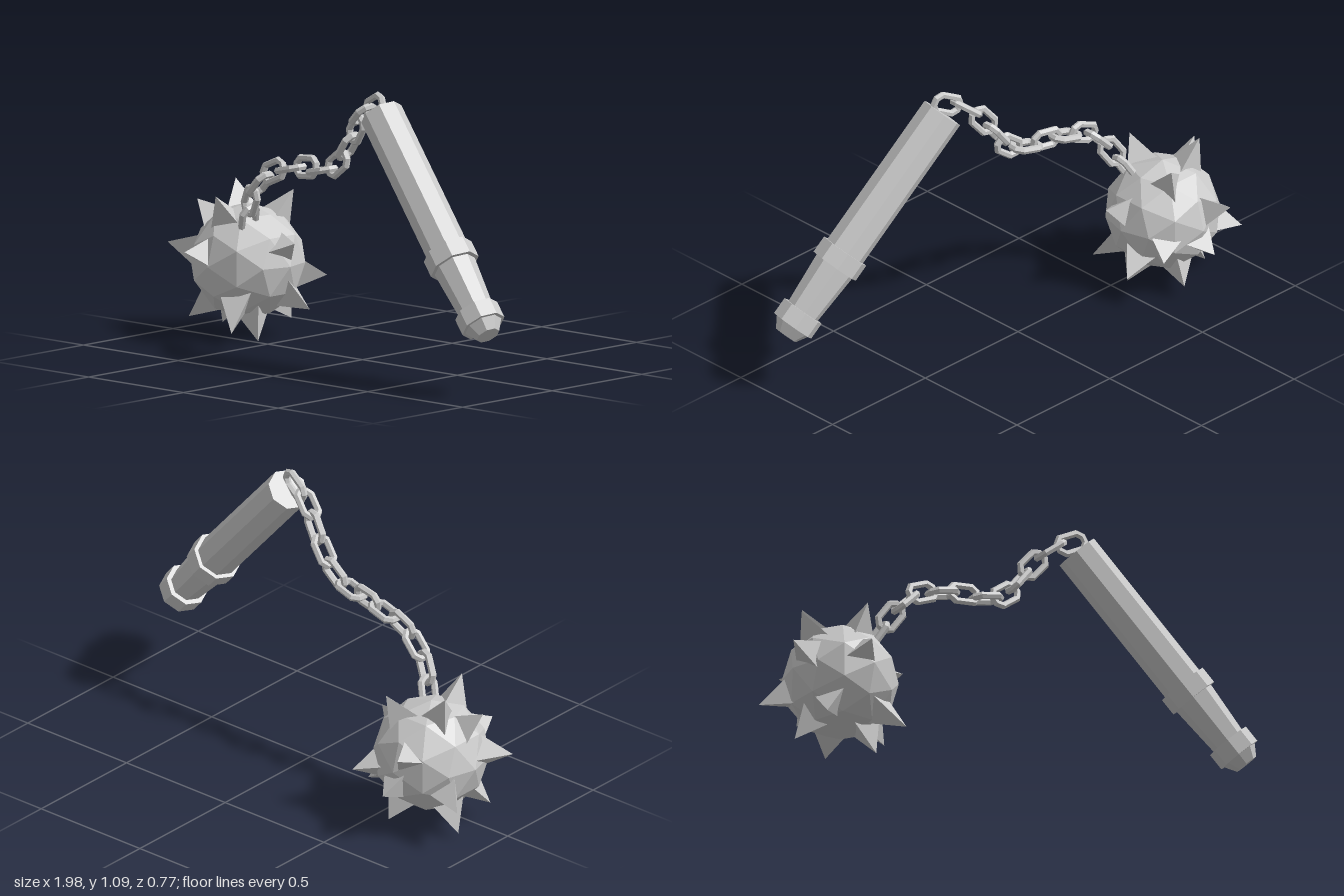
import * as THREE from 'three';

const V = (x, y, z) => new THREE.Vector3(x, y, z);
const UP = V(0, 1, 0);
const metal = new THREE.MeshStandardMaterial({ color: 0xcccccc, flatShading: true });

function add(parent, name, geometry) {
  const mesh = new THREE.Mesh(geometry, metal);
  mesh.name = name;
  parent.add(mesh);
  return mesh;
}

// Spiked ball: faceted sphere with three-sided spikes
function makeBall() {
  const ball = new THREE.Group();
  ball.name = 'spikedBall';
  ball.position.set(-0.69, 0.295, -0.09);
  add(ball, 'ballCore', new THREE.IcosahedronGeometry(0.225, 1));
  const tips = [
    [-0.13, 0.297, -0.07], [0.1, 0.27, -0.15], [0, 0.27, 0.18], [-0.22, 0.22, 0.05],
    [-0.06, 0.06, 0.29], [-0.31, 0.05, 0.12], [0.275, 0.1, 0.03], [-0.08, 0.1, -0.29],
    [0, -0.08, -0.285], [0.21, -0.06, -0.22], [-0.27, -0.11, -0.16], [0.26, -0.17, -0.07],
    [0.06, -0.24, -0.18], [-0.18, -0.27, -0.05], [-0.17, -0.22, 0.15], [0.12, -0.293, 0.07],
    [0.14, -0.24, 0.24],
  ];
  const base = 0.185;
  tips.forEach((t, i) => {
    const tip = V(...t), length = tip.length(), dir = tip.clone().normalize();
    const spike = add(ball, 'spike', new THREE.ConeGeometry(0.08, length - base, 3));
    spike.geometry.rotateY(i * 0.7);
    spike.quaternion.setFromUnitVectors(UP, dir);
    spike.position.copy(dir).multiplyScalar((length + base) / 2);
  });
  return ball;
}

// Eight-sided handle, built along y from the pommel (0) to the chain end (length)
function makeHandle() {
  const top = V(0.25, 1.01, 0.16), bottom = V(0.95, 0.25, 0.305);
  const axis = top.clone().sub(bottom), length = axis.length();
  const handle = new THREE.Group();
  handle.name = 'handle';
  handle.position.copy(bottom);
  handle.quaternion.setFromUnitVectors(UP, axis.normalize());
  // name, start, end, start radius, end radius
  const sections = [
    ['pommelTip', 0, 0.045, 0.047, 0.075],
    ['pommel', 0.045, 0.115, 0.088, 0.088],
    ['grip', 0.1, 0.34, 0.068, 0.085],
    ['collar', 0.325, 0.395, 0.1, 0.1],
    ['shaft', 0.38, length, 0.084, 0.084],
  ];
  for (const [name, a, b, ra, rb] of sections) {
    const part = add(handle, name, new THREE.CylinderGeometry(rb, ra, b - a, 8));
    part.position.y = (a + b) / 2;
  }
  return handle;
}

// Oval link: a low-poly ring whose two halves are pulled apart along x
function linkGeometry() {
  const g = new THREE.TorusGeometry(0.037, 0.0145, 6, 8);
  g.rotateZ(Math.PI / 8);
  const p = g.attributes.position;
  for (let i = 0; i < p.count; i++) p.setX(i, p.getX(i) + Math.sign(p.getX(i)) * 0.024);
  return g;
}

// Chain: links spaced along a hanging curve, every other one turned a quarter
function makeChain() {
  const chain = new THREE.Group();
  chain.name = 'chain';
  const path = new THREE.CatmullRomCurve3([
    V(0.22, 1.035, 0.165), V(0.14, 0.995, 0.145), V(0.08, 0.93, 0.115), V(0.02, 0.85, 0.1),
    V(-0.04, 0.775, 0.095), V(-0.13, 0.735, 0.09), V(-0.225, 0.735, 0.075), V(-0.32, 0.715, 0.065),
    V(-0.42, 0.69, 0.06), V(-0.49, 0.63, 0.055), V(-0.545, 0.565, 0.045), V(-0.59, 0.48, 0.01),
  ]);
  const geometry = linkGeometry(), count = 12;
  for (let i = 0; i < count; i++) {
    const u = i / (count - 1);
    const x = path.getTangentAt(u);
    const y = V(0, 0, 1).cross(x).normalize();
    const z = x.clone().cross(y);
    const link = add(chain, 'chainLink', geometry);
    link.quaternion.setFromRotationMatrix(new THREE.Matrix4().makeBasis(x, y, z));
    link.rotateX(i % 2 ? Math.PI / 2 : 0.15);
    link.position.copy(path.getPointAt(u));
  }
  return chain;
}

export function createModel() {
  const model = new THREE.Group();
  model.name = 'flail';
  model.add(makeBall(), makeHandle(), makeChain());
  return model;
}
